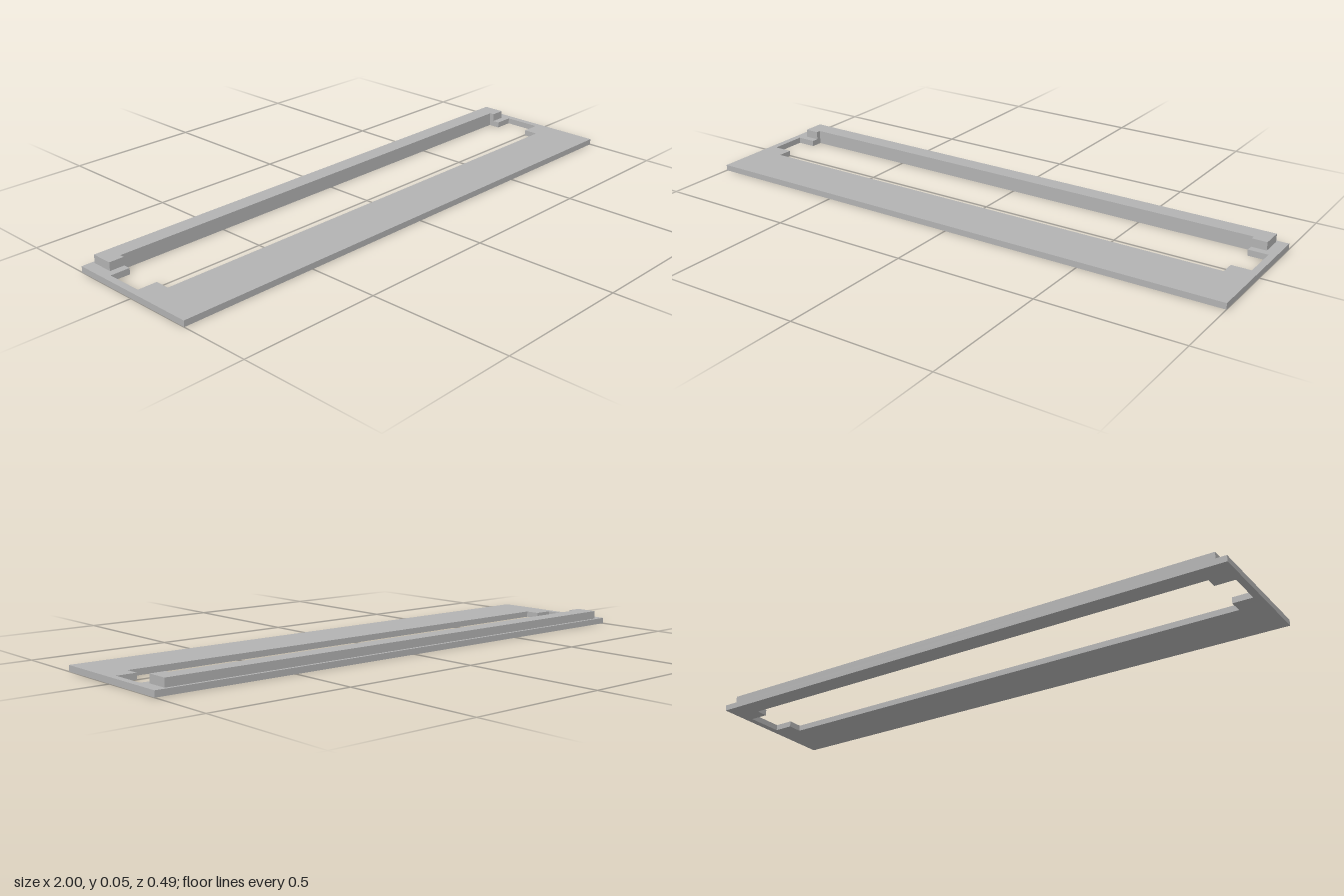
import * as THREE from 'three';

// Extrudes an outline drawn in (x, -z) upwards from y0 to y1
function slab(name, outline, y0, y1, material, hole) {
  const toPoints = (list) => list.map(([x, z]) => new THREE.Vector2(x, -z));
  const shape = new THREE.Shape(toPoints(outline));
  if (hole) shape.holes.push(new THREE.Path(toPoints(hole)));
  const geometry = new THREE.ExtrudeGeometry(shape, { depth: y1 - y0, bevelEnabled: false });
  geometry.rotateX(-Math.PI / 2).translate(0, y0, 0);
  const mesh = new THREE.Mesh(geometry, material);
  mesh.name = name;
  return mesh;
}

// Completes a right-hand half outline with its mirror image
const mirrored = (half) => [...half, ...half.map(([x, z]) => [-x, z]).reverse()];

export function createModel() {
  const group = new THREE.Group();
  group.name = 'slottedPanel';
  const grey = new THREE.MeshStandardMaterial({ color: 0xb2b2b2 });
  grey.name = 'grey';

  // Flat plate with a long window that widens into side notches
  const plate = mirrored([[1, 0.247], [1, -0.247]]);
  const windowHole = mirrored([
    [0.907, 0.056], [0.907, 0.003], [0.976, 0.003],
    [0.976, -0.131], [0.907, -0.131], [0.907, -0.174],
  ]);
  group.add(slab('basePlate', plate, 0, 0.021, grey, windowHole));

  // Raised rear rail, slightly deeper at both ends
  const rail = mirrored([
    [0.907, -0.174], [0.907, -0.157], [0.96, -0.157], [0.96, -0.236],
  ]);
  group.add(slab('rearRail', rail, 0.021, 0.05, grey));

  return group;
}
